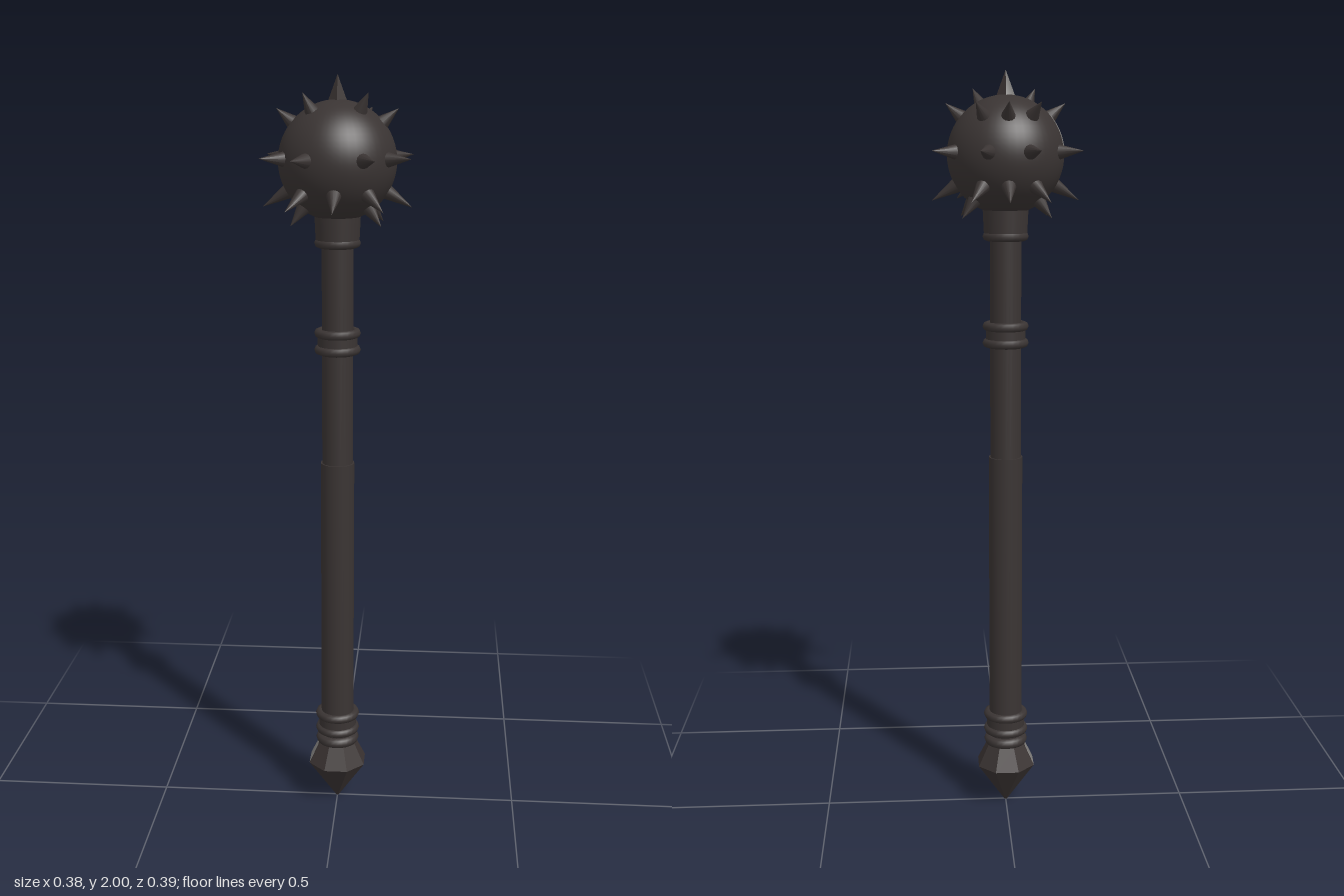
import * as THREE from 'three';

export function createModel() {
  const iron = new THREE.MeshStandardMaterial({ color: 0x3a3433 });
  iron.name = 'darkIron';
  const bright = new THREE.MeshStandardMaterial({ color: 0x82807e });
  bright.name = 'wornSteel';
  const facet = new THREE.MeshStandardMaterial({ color: 0x3a3332, flatShading: true });
  facet.name = 'facetedIron';
  const group = new THREE.Group();
  group.name = 'spikedMace';

  const add = (name, geometry, material, y = 0) => {
    const mesh = new THREE.Mesh(geometry, material);
    mesh.name = name;
    mesh.position.y = y;
    group.add(mesh);
    return mesh;
  };
  // Round section between two heights
  const section = (name, y0, y1, r0, r1 = r0) =>
    add(name, new THREE.CylinderGeometry(r1, r0, y1 - y0, 24), iron, (y0 + y1) / 2);
  // Rounded band around the shaft
  const ring = (name, y, radius, tube) =>
    add(name, new THREE.TorusGeometry(radius - tube, tube, 8, 24).rotateX(Math.PI / 2), iron, y);

  // Shaft: the lower grip is slightly thicker
  section('lowerShaft', 0.2, 1.0, 0.045);
  section('upperShaft', 1.0, 1.62, 0.041);

  // Middle and lower collars
  for (const [name, y] of [['middleCollar', 1.33], ['lowerCollar', 0.24]]) {
    section(name, y - 0.028, y + 0.028, 0.052);
    ring(name + 'TopBand', y + 0.022, 0.061, 0.012);
    ring(name + 'BottomBand', y - 0.022, 0.061, 0.012);
  }

  // Neck below the ball
  section('neck', 1.585, 1.67, 0.056, 0.06);
  ring('neckBand', 1.585, 0.06, 0.012);

  // Pommel: stem, band and eight-sided point
  section('pommelStem', 0.16, 0.22, 0.045);
  ring('pommelBand', 0.187, 0.06, 0.014);
  const turn = Math.PI / 8;
  const frustum = (name, y0, y1, r0, r1) =>
    add(name, new THREE.CylinderGeometry(r1, r0, y1 - y0, 8, 1, false, turn), facet, (y0 + y1) / 2);
  frustum('pommelShoulder', 0.115, 0.175, 0.083, 0.053);
  frustum('pommelPoint', 0, 0.115, 0.004, 0.083);

  // Bright facet on the side of the pommel
  add('pommelBrightFacet', new THREE.CylinderGeometry(0.057, 0.0842, 0.055, 1, 1, true,
    1.5 * Math.PI - turn, 2 * turn), bright, 0.1425);
  add('pommelBrightLowerFacet', new THREE.CylinderGeometry(0.0842, 0.063, 0.03, 1, 1, true,
    1.5 * Math.PI - turn, 2 * turn), bright, 0.1);

  // Ball and its worn patch
  const centre = 1.79;
  add('ball', new THREE.SphereGeometry(0.15, 48, 32), iron, centre);
  add('ballWornPatch', new THREE.SphereGeometry(0.151, 10, 10, -0.28, 0.4, 0.86, 0.72), bright, centre);

  // Four-sided top spike with one bright side
  add('topSpike', new THREE.ConeGeometry(0.026, 0.07, 4), facet, 1.965);
  add('topSpikeBrightSide', new THREE.ConeGeometry(0.0265, 0.07, 1, 1, true, Math.PI, Math.PI / 2), bright, 1.9655);

  // Side spikes in rings: [elevation, tip distance, azimuths from +x towards +z]
  const rings = [
    [57, 0.2, [42, 138]],
    [40, 0.2, [3, 177, 238, 270, 302]],
    [3, 0.213, [28, 61, 118, 152, 206, 249, 290, 333]],
    [-31, 0.222, [2, 178, 50, 129, 90, 237, 270, 300]],
    [-50, 0.205, [30, 150, 210, 330]],
  ];
  const up = new THREE.Vector3(0, 1, 0);
  for (const [elevation, reach, azimuths] of rings) {
    for (const azimuth of azimuths) {
      const e = THREE.MathUtils.degToRad(elevation);
      const a = THREE.MathUtils.degToRad(azimuth);
      const dir = new THREE.Vector3(Math.cos(e) * Math.cos(a), Math.sin(e), Math.cos(e) * Math.sin(a));
      const length = reach - 0.14;
      const spike = add('spike', new THREE.ConeGeometry(0.021, length, 12, 1, true), iron);
      spike.quaternion.setFromUnitVectors(up, dir);
      spike.position.copy(dir).multiplyScalar(0.14 + length / 2);
      spike.position.y += centre;
    }
  }
  return group;
}
